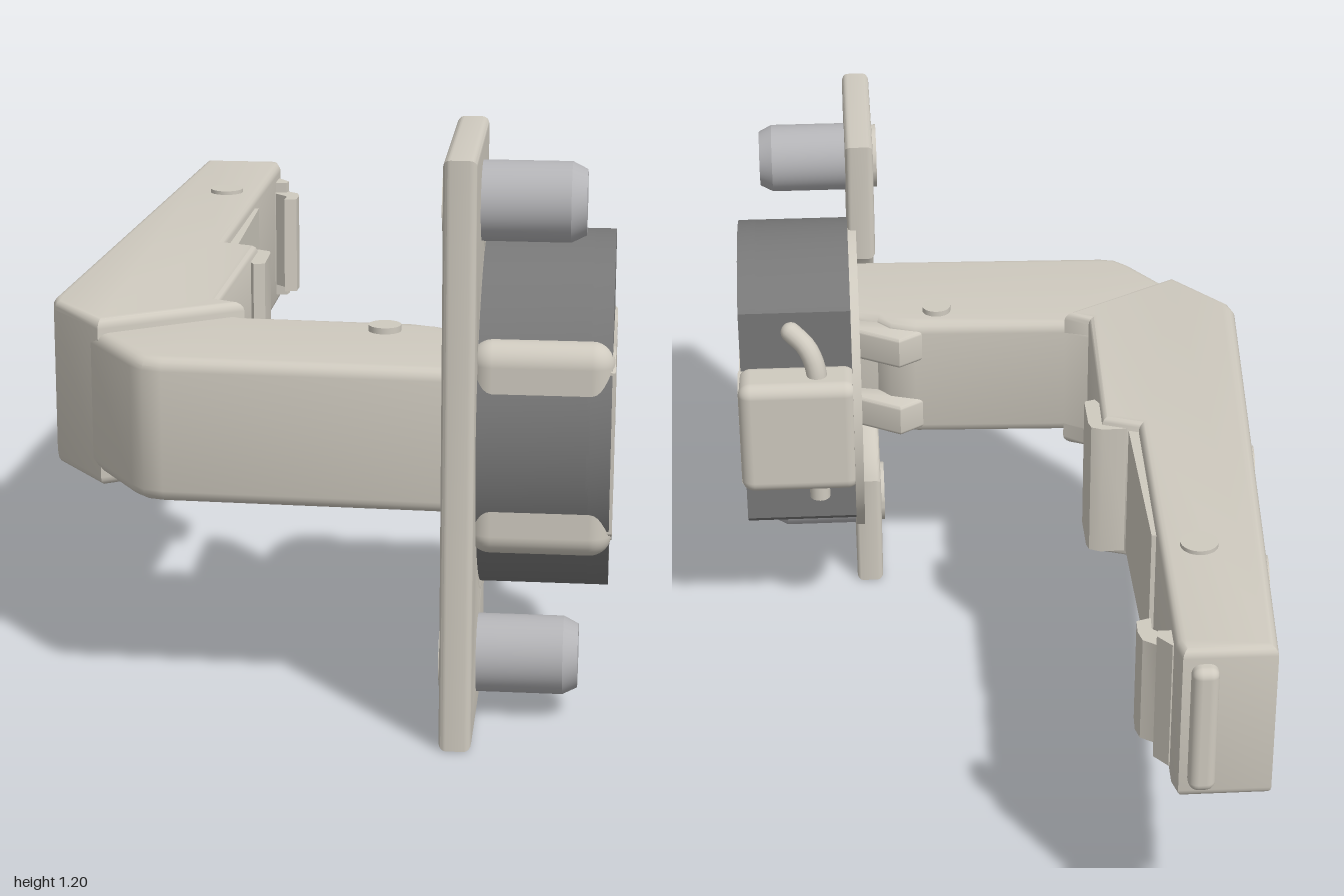
import * as THREE from 'three';
import { toCreasedNormals } from 'three/addons/utils/BufferGeometryUtils.js';
import { RoundedBoxGeometry } from 'three/addons/geometries/RoundedBoxGeometry.js';

const metal = new THREE.MeshStandardMaterial({ color: 0xcfcabf });
const pegGrey = new THREE.MeshStandardMaterial({ color: 0xb4b4b7 });
const dark = new THREE.MeshStandardMaterial({ color: 0x787878 });

const toShape = (pts) => new THREE.Shape(pts.map(([a, b]) => new THREE.Vector2(a, b)));

function extrude(shape, depth, bevel = 0) {
  const g = new THREE.ExtrudeGeometry(shape, {
    depth: depth - 2 * bevel, bevelEnabled: bevel > 0, bevelSize: bevel,
    bevelThickness: bevel, bevelOffset: -bevel, bevelSegments: 4, curveSegments: 32,
  });
  g.translate(0, 0, bevel);
  return toCreasedNormals(g, 0.6);
}

// Outline of (x, z) points, raised from y0 to y1
const prismY = (pts, y0, y1, bevel) =>
  extrude(toShape(pts), y1 - y0, bevel).rotateX(Math.PI / 2).translate(0, y1, 0);

// Outline of (z, y) points, extended from x0 to x1, with optional holes
function prismX(pts, x0, x1, bevel, holes = []) {
  const flip = (list) => list.map(([z, y]) => [-z, y]);
  const shape = toShape(flip(pts));
  holes.forEach((h) => shape.holes.push(toShape(flip(h))));
  return extrude(shape, x1 - x0, bevel).rotateY(Math.PI / 2).translate(x0, 0, 0);
}

// Points of an arc in (z, y) around the cup centre
const CZ = 0.58, CY = 0.603;
function arc(r, a0, a1, n = 56) {
  return Array.from({ length: n + 1 }, (_, i) => {
    const a = a0 + ((a1 - a0) * i) / n;
    return [CZ + r * Math.cos(a), CY + r * Math.sin(a)];
  });
}
const rect = (z0, z1, h) => [[z0, CY - h], [z1, CY - h], [z1, CY + h], [z0, CY + h]];

// Round screw head with a cross slot, facing local +z
function screwHead(r, depth) {
  const s = new THREE.Shape().absarc(0, 0, r, 0, Math.PI * 2);
  const a = r * 0.7, b = r * 0.14;
  s.holes.push(toShape([[a, b], [b, b], [b, a], [-b, a], [-b, b], [-a, b],
    [-a, -b], [-b, -b], [-b, -a], [b, -a], [b, -b], [a, -b]]));
  return extrude(s, depth);
}

export function createModel() {
  const model = new THREE.Group();
  const add = (name, geometry, material = metal, parent = model) => {
    const mesh = new THREE.Mesh(geometry, material);
    mesh.name = name;
    parent.add(mesh);
    return mesh;
  };

  // Long rear arm and the narrower elbow leg leading to the cup
  add('rearArm', prismY([[-0.49, -0.97], [-0.3, -0.97], [-0.29, -0.93], [-0.31, -0.06],
    [-0.23, -0.03], [-0.245, 0.46], [-0.19, 0.49], [-0.47, 0.67], [-0.59, 0.52], [-0.6, 0.48]],
  0.423, 0.783, 0.02));
  add('elbowLeg', prismY([[-0.5, 0.63], [-0.26, 0.45], [-0.19, 0.49], [0.17, 0.505], [0.23, 0.525],
    [0.26, 0.56], [0.34, 0.58], [0.34, 0.87], [-0.31, 0.85], [-0.35, 0.84], [-0.38, 0.81]],
  0.453, 0.753, 0.025));

  // Rivets through the arm
  for (const [x, z, r, y0, y1] of [[-0.38, -0.58, 0.04, 0.412, 0.792], [0.115, 0.58, 0.034, 0.442, 0.766]]) {
    add('rivet', new THREE.CylinderGeometry(r, r, y1 - y0, 32).translate(x, (y0 + y1) / 2, z));
  }

  // Inner panel, ridge, rear hook and rear catch
  add('innerPanel', prismY([[-0.31, -0.5], [-0.29, -0.5], [-0.288, -0.04], [-0.32, -0.04]], 0.445, 0.76));
  add('innerRidge', prismY([[-0.3, -0.05], [-0.23, -0.052], [-0.205, -0.04], [-0.2, -0.02], [-0.2, 0.08],
    [-0.225, 0.088], [-0.25, 0.03]], 0.443, 0.765));
  add('rearHook', prismY([[-0.31, -0.9], [-0.288, -0.895], [-0.27, -0.865], [-0.235, -0.84], [-0.228, -0.81],
    [-0.23, -0.77], [-0.26, -0.76], [-0.258, -0.8], [-0.29, -0.83], [-0.31, -0.83]], 0.485, 0.725));
  add('rearHookLip', prismY([[-0.31, -0.9], [-0.288, -0.9], [-0.26, -0.865], [-0.265, -0.845], [-0.31, -0.845]], 0.455, 0.75));
  add('rearCatch', new RoundedBoxGeometry(0.055, 0.295, 0.06, 3, 0.02).translate(-0.345, 0.603, -0.97));

  // Outer face details, laid along the slanted face
  const face = new THREE.Group();
  face.name = 'outerFace';
  face.position.set(-0.49, 0.603, -0.97);
  face.rotation.y = -(Math.PI / 2 + 0.0757);
  model.add(face);
  const panel = toShape([[0.25, -0.12], [1.07, -0.12], [1.07, 0.12], [0.25, 0.12]]);
  panel.holes.push(toShape([[0.61, -0.085], [0.8, -0.085], [0.8, 0.085], [0.61, 0.085]]));
  add('adjustmentPanel', extrude(panel, 0.005), metal, face);
  for (let i = 0; i < 3; i++) {
    add('gripRib', new THREE.BoxGeometry(0.03, 0.21, 0.01).translate(0.07 + i * 0.055, 0, 0), metal, face);
  }
  for (const u of [0.47, 0.94]) {
    add('adjustmentScrew', screwHead(0.085, 0.016).translate(u, 0, 0), metal, face);
  }

  // Mounting plate with an arched cut-out, and the round flange behind it
  const half = Math.acos(-0.03 / 0.31);
  add('mountingPlate', prismX([[0.55, 0.003], [1, 0.003], [1, 1.2], [0.55, 1.2],
    ...arc(0.31, half, -half, 40)], 0.26, 0.325, 0.014));
  add('cupFlange', prismX(arc(0.385, 0, Math.PI * 2, 72).slice(0, -1), 0.305, 0.325, 0,
    [rect(0.36, 0.84, 0.16)]));

  // Pegs and their screws
  for (const y of [0.13, 1.077]) {
    const peg = new THREE.LatheGeometry([[0, 0], [0.08, 0], [0.08, 0.185], [0.065, 0.215], [0, 0.215]]
      .map(([r, h]) => new THREE.Vector2(r, h)), 40);
    add('peg', toCreasedNormals(peg, 0.4).rotateZ(-Math.PI / 2).translate(0.315, y, 0.78), pegGrey);
    add('plateScrew', screwHead(0.075, 0.012).rotateY(-Math.PI / 2).translate(0.261, y, 0.78));
  }

  // Dark cup body, cut flat at the back: hollow wall and closed floor
  const cut = Math.acos((0.34 - CZ) / 0.367);
  const cupOutline = arc(0.367, -cut, cut);
  add('cupWall', prismX(cupOutline, 0.325, 0.545, 0, [rect(0.36, 0.84, 0.16)]), dark);
  add('cupFloor', prismX(cupOutline, 0.54, 0.587, 0), dark);

  // Metal strap over the cup floor with its two wrapped ends
  const side = [[0.91, 0.165], [0.87, 0.19], [0.8, 0.19], [0.77, 0.17], [0.53, 0.17], [0.505, 0.155],
    [0.49, 0.125], [0.47, 0.108], [0.44, 0.1], [0.36, 0.1], [0.335, 0.13], [0.25, 0.125]];
  add('cupStrap', prismX([...side.map(([z, h]) => [z, CY + h]),
    ...side.slice().reverse().map(([z, h]) => [z, CY - h])], 0.56, 0.593, 0));
  add('strapFrontEnd', new RoundedBoxGeometry(0.285, 0.436, 0.095, 5, 0.045).translate(0.4505, CY, 0.879));
  add('strapBackEnd', new RoundedBoxGeometry(0.278, 0.284, 0.125, 5, 0.03).translate(0.454, CY, 0.2835));

  // Links from the arm into the cup
  for (const y of [0.47, 0.655]) {
    add('link', prismY([[0.1, 0.54], [0.16, 0.5], [0.21, 0.465], [0.32, 0.53], [0.36, 0.42], [0.42, 0.38],
      [0.48, 0.42], [0.42, 0.6], [0.3, 0.64]], y, y + 0.08, 0.01));
  }

  // Hinge pin with a bent top
  const pinPath = new THREE.CatmullRomCurve3([[0.41, 0.42, 0.285], [0.41, 0.6, 0.285], [0.41, 0.76, 0.285],
    [0.43, 0.81, 0.3], [0.465, 0.835, 0.33]].map((p) => new THREE.Vector3(...p)));
  add('hingePin', new THREE.TubeGeometry(pinPath, 30, 0.024, 16));
  add('pinCap', new THREE.SphereGeometry(0.024, 16, 10).translate(0.465, 0.835, 0.33));
  add('pinFoot', new THREE.CylinderGeometry(0.024, 0.024, 0.02, 16).translate(0.41, 0.426, 0.285));

  return model;
}
